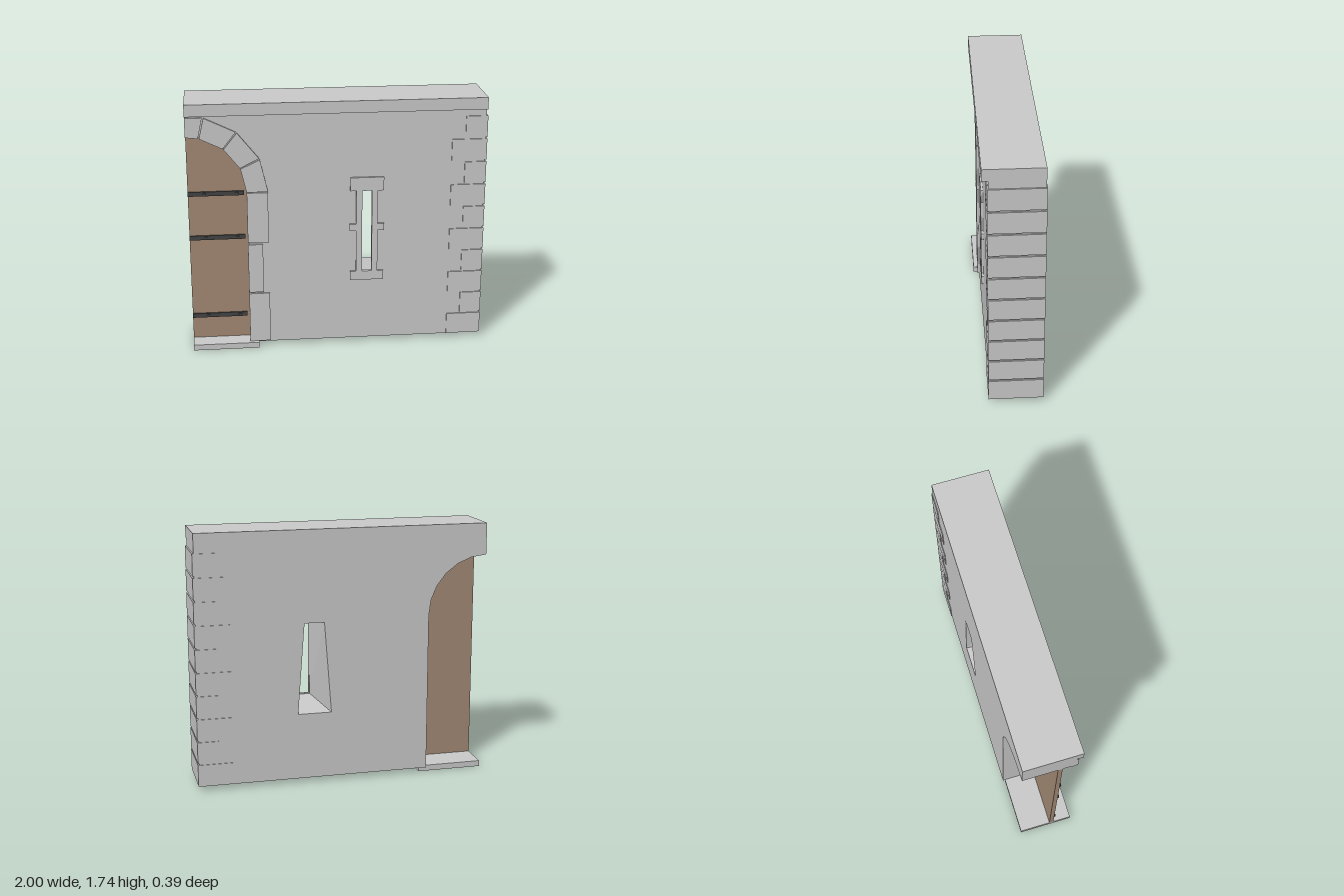
import * as THREE from 'three';

const mat = (color) => new THREE.MeshStandardMaterial({ color, flatShading: true });
const stone = mat(0xcccccc);
const wood = mat(0xa58b76);
const iron = mat(0x444444);

const ARCH_X = -1, ARCH_Y = 1.12;

// Point on a circle around the arch centre, angle in degrees from the springing
const onArch = (r, deg) => {
  const a = THREE.MathUtils.degToRad(deg);
  return new THREE.Vector2(ARCH_X + r * Math.cos(a), ARCH_Y + r * Math.sin(a));
};
const arc = (r, steps) => Array.from({ length: steps + 1 }, (_, i) => onArch(r, (90 * i) / steps));

function add(parent, name, geometry, material = stone) {
  const mesh = new THREE.Mesh(geometry, material);
  mesh.name = name;
  parent.add(mesh);
  return mesh;
}

// Box given by its limits on each axis
function block(parent, name, x0, x1, y0, y1, z0, z1, material = stone) {
  const mesh = add(parent, name, new THREE.BoxGeometry(x1 - x0, y1 - y0, z1 - z0), material);
  mesh.position.set((x0 + x1) / 2, (y0 + y1) / 2, (z0 + z1) / 2);
  return mesh;
}

function plate(shape, z0, z1) {
  return new THREE.ExtrudeGeometry(shape, { depth: z1 - z0, bevelEnabled: false }).translate(0, 0, z0);
}

function makeWall(group) {
  const v = (x, y) => new THREE.Vector2(x, y);
  const shape = new THREE.Shape([
    v(-0.6, 0.03), v(0.985, 0.03), v(0.985, 1.66), v(-1, 1.66), ...arc(0.4, 6).reverse(),
  ]);
  shape.holes.push(new THREE.Path([v(0.16, 0.53), v(0.16, 1.11), v(0.227, 1.11), v(0.227, 0.53)]));
  const geo = plate(shape, -0.19, 0.155);
  // Splay the slit towards the back, wider at the sill
  const p = geo.attributes.position;
  for (let i = 0; i < p.count; i++) {
    const x = p.getX(i), y = p.getY(i);
    if (p.getZ(i) > 0 || x < 0.1 || x > 0.3) continue;
    const low = y < 0.8;
    const half = low ? 0.115 : 0.068;
    p.setX(i, 0.195 + (x < 0.195 ? -half : half));
    if (low) p.setY(i, 0.485);
  }
  geo.computeVertexNormals();
  add(group, 'wall', geo);
  block(group, 'coping', -1, 0.985, 1.655, 1.735, -0.19, 0.195);
}

function makeDoor(group) {
  const door = new THREE.Group();
  door.name = 'door';
  group.add(door);
  const shape = new THREE.Shape([
    new THREE.Vector2(-1, 0.035), new THREE.Vector2(-0.598, 0.035), ...arc(0.402, 12),
  ]);
  add(door, 'doorLeaf', plate(shape, 0.04, 0.07), wood);
  for (const y of [0.208, 0.78, 1.092]) {
    block(door, 'strap', -1, -0.625, y - 0.015, y + 0.015, 0.065, 0.08, iron);
    for (const x of [-0.89, -0.675]) {
      const rivet = add(door, 'rivet', new THREE.CylinderGeometry(0.011, 0.011, 0.012, 8), iron);
      rivet.rotation.x = Math.PI / 2;
      rivet.position.set(x, y, 0.083);
    }
  }
  block(group, 'threshold', -1, -0.55, 0, 0.04, -0.175, 0.195);
}

function makeDoorSurround(group) {
  const surround = new THREE.Group();
  surround.name = 'doorSurround';
  group.add(surround);
  // Jamb stones: bottom, top, outer edge
  for (const [y0, y1, x1] of [[0.04, 0.395, -0.47], [0.405, 0.752, -0.51], [0.765, 1.118, -0.47]]) {
    block(surround, 'jambStone', -0.61, x1, y0, y1, 0.12, 0.168);
  }
  // Arch stones, the last one cut in half by the end of the wall
  const step = 180 / 7;
  for (let i = 0; i < 4; i++) {
    const a0 = i * step + 0.5, a1 = Math.min((i + 1) * step - 0.5, 90);
    const outer = i === 3 ? new THREE.Vector2(-1, onArch(0.532, a0).y) : onArch(0.532, a1);
    const shape = new THREE.Shape([onArch(0.39, a0), onArch(0.532, a0), outer, onArch(0.39, a1)]);
    add(surround, 'archStone', plate(shape, 0.12, 0.168));
  }
}

function makeSlitFrame(group) {
  const frame = new THREE.Group();
  frame.name = 'slitFrame';
  group.add(frame);
  block(frame, 'slitHead', 0.08, 0.306, 1.11, 1.203, 0.14, 0.17);
  block(frame, 'slitSill', 0.08, 0.306, 0.468, 0.532, 0.14, 0.17);
  for (const s of [-1, 1]) {
    const cx = 0.193;
    const side = (name, a, b, y0, y1) =>
      block(frame, name, cx + Math.min(s * a, s * b), cx + Math.max(s * a, s * b), y0, y1, 0.14, 0.17);
    side('slitJamb', 0.033, 0.073, 0.532, 1.11);
    side('slitCrossStone', 0.073, 0.117, 0.826, 0.874);
  }
}

function makeQuoins(group) {
  const quoins = new THREE.Group();
  quoins.name = 'quoins';
  group.add(quoins);
  for (let i = 0; i < 10; i++) {
    const y = 0.036 + i * 0.158;
    block(quoins, 'quoin', i % 2 ? 0.85 : 0.76, 0.995, y, y + 0.146, -0.195, 0.163);
  }
}

export function createModel() {
  const group = new THREE.Group();
  group.name = 'wallWithDoor';
  makeWall(group);
  makeDoor(group);
  makeDoorSurround(group);
  makeSlitFrame(group);
  makeQuoins(group);
  return group;
}
